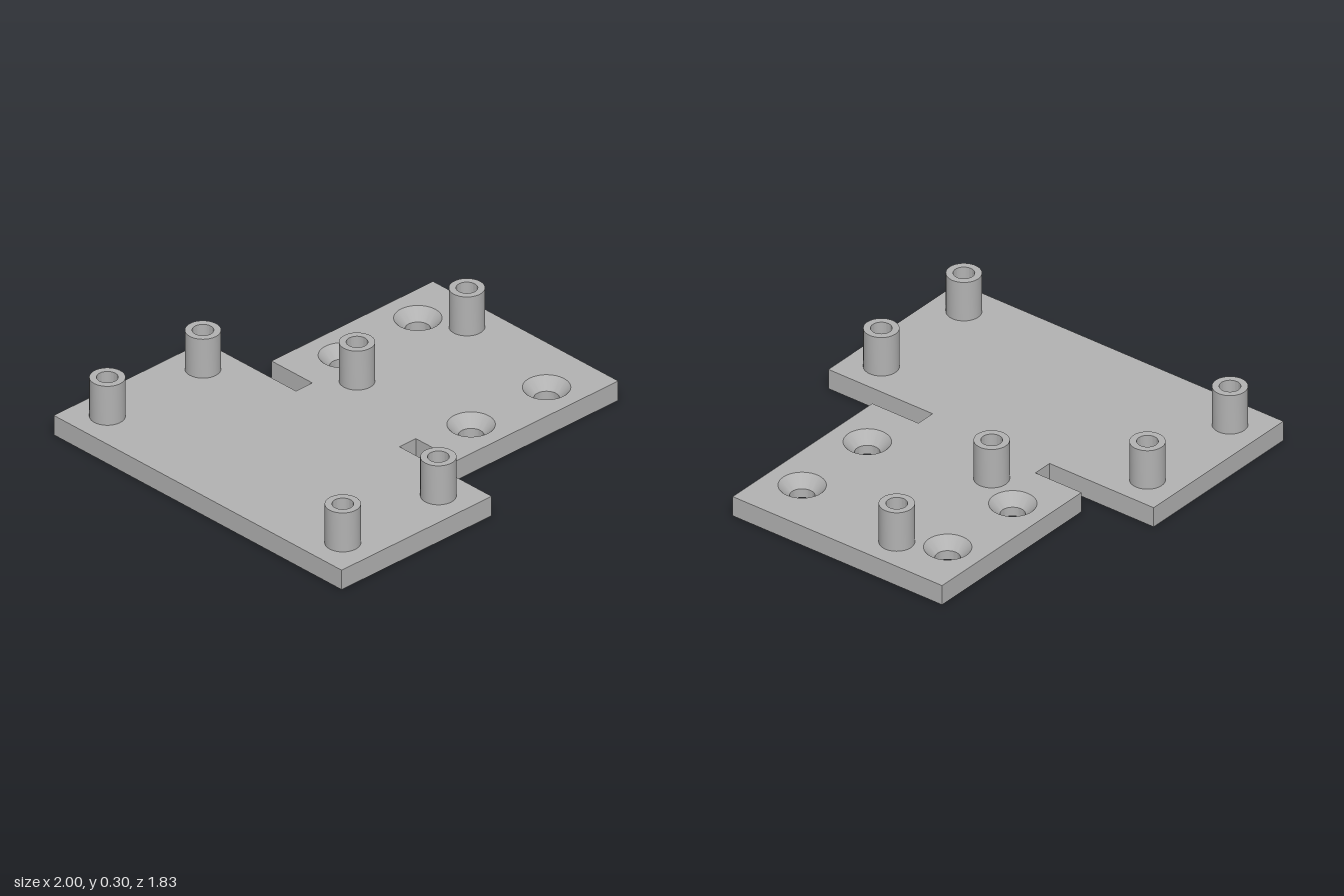
import * as THREE from 'three';
import { toCreasedNormals } from 'three/addons/utils/BufferGeometryUtils.js';

const T = 0.1, POST_TOP = 0.3, SEG = 48;
const POST_R = 0.08, POST_BORE = 0.048, POST_SINK = 0.092;
const SCREW_BORE = 0.057, SCREW_SINK = 0.107;

// Hole centres as [x, z]
const posts = [[0.17, -0.207], [0.84, -0.207]];
const screws = [];
for (const s of [-1, 1]) {
  posts.push([-0.833, s * 0.75], [-0.25, s * 0.75]);
  screws.push([0.275, s * 0.41], [0.735, s * 0.41]);
}

// Half outline of the plate, mirrored across z to close the loop
const half = [[-1, 0.917], [-0.085, 0.917], [-0.085, 0.33], [0.015, 0.33], [0.015, 0.59], [1, 0.59]];
const outline = [
  ...half.map(([x, z]) => new THREE.Vector2(x, -z)),
  ...half.slice().reverse().map(([x, z]) => new THREE.Vector2(x, z)),
];

// Flat plate face with round openings; side is 1 for top, -1 for bottom
function plateFace(side, postR, screwR) {
  const shape = new THREE.Shape(outline);
  const cut = (r) => ([x, z]) =>
    shape.holes.push(new THREE.Path().absarc(x, -side * z, r, 0, Math.PI * 2, true));
  posts.forEach(cut(postR));
  screws.forEach(cut(screwR));
  const geo = new THREE.ShapeGeometry(shape, SEG / 2);
  geo.rotateX(-side * Math.PI / 2);
  if (side > 0) geo.translate(0, T, 0);
  return geo;
}

// Straight wall around the outline
function plateWall() {
  const pos = [];
  outline.forEach((a, i) => {
    const b = outline[(i + 1) % outline.length];
    const a0 = [a.x, 0, -a.y], b0 = [b.x, 0, -b.y];
    const a1 = [a.x, T, -a.y], b1 = [b.x, T, -b.y];
    pos.push(...a0, ...b0, ...b1, ...a0, ...b1, ...a1);
  });
  const geo = new THREE.BufferGeometry();
  geo.setAttribute('position', new THREE.Float32BufferAttribute(pos, 3));
  geo.computeVertexNormals();
  return geo;
}

function turned(profile) {
  const points = profile.map(([r, y]) => new THREE.Vector2(r, y));
  return toCreasedNormals(new THREE.LatheGeometry(points, SEG), 0.4);
}

export function createModel() {
  const model = new THREE.Group();
  const grey = new THREE.MeshStandardMaterial({ color: 0xb2b2b2 });
  grey.name = 'grey';
  const add = (name, geo, x = 0, z = 0) => {
    const mesh = new THREE.Mesh(geo, grey);
    mesh.name = name;
    mesh.position.set(x, 0, z);
    model.add(mesh);
  };

  // Base plate
  add('plateTop', plateFace(1, POST_R, SCREW_SINK));
  add('plateBottom', plateFace(-1, POST_SINK, SCREW_BORE));
  add('plateWall', plateWall());

  // Hollow standoffs, bored through and countersunk from below
  const post = turned([[POST_R, T], [POST_R, POST_TOP], [POST_BORE, POST_TOP], [POST_BORE, 0.05], [POST_SINK, 0]]);
  posts.forEach(([x, z]) => add('standoff', post, x, z));

  // Screw holes countersunk from above
  const bore = turned([[SCREW_SINK, T], [SCREW_BORE, 0.045], [SCREW_BORE, 0]]);
  screws.forEach(([x, z]) => add('screwHole', bore, x, z));

  return model;
}
